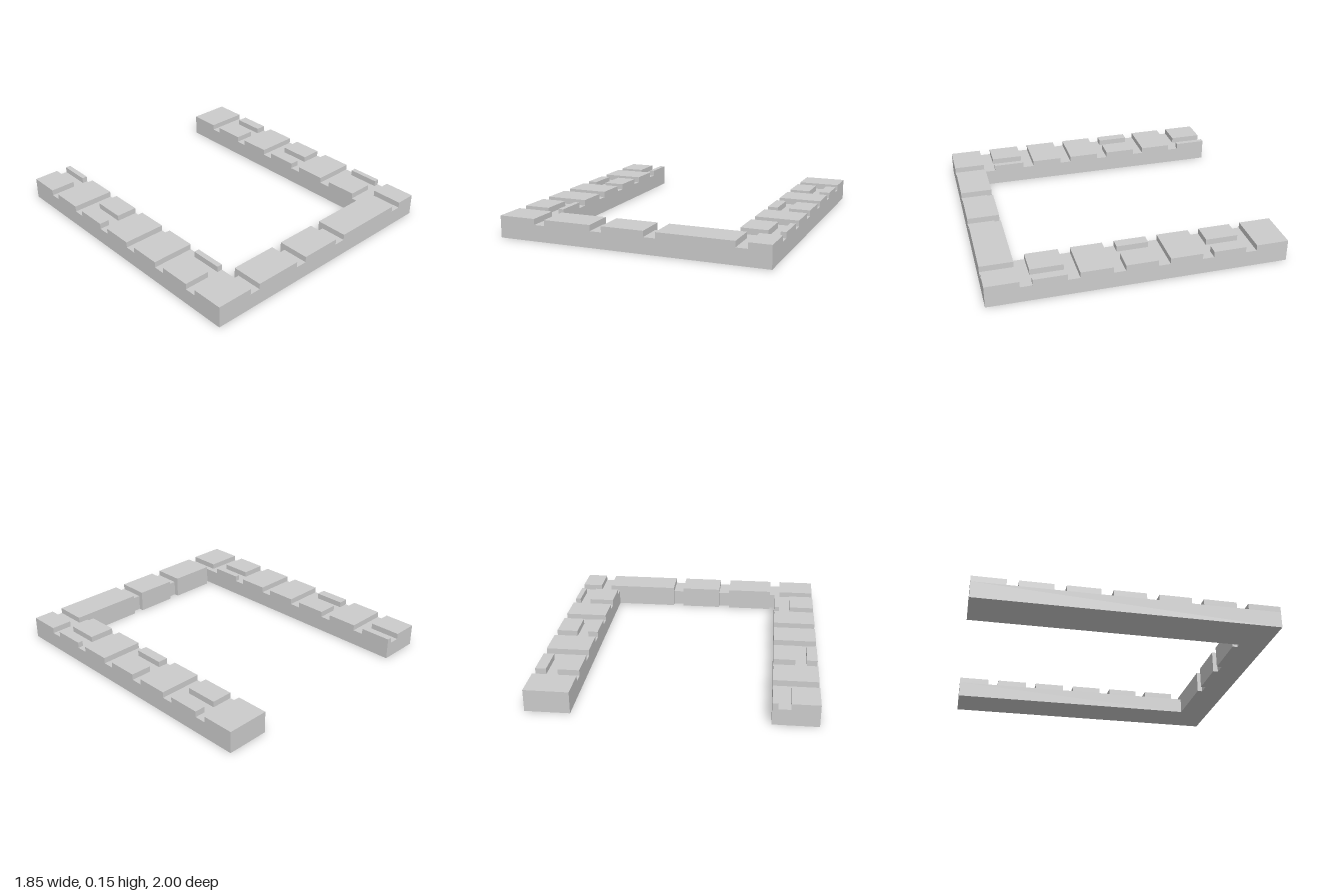
import * as THREE from 'three';

const FLOOR = 0.11, TOP = 0.15;   // groove floor and stone top
const OUT = 0.925, IN = 0.63;     // outer and inner edge of the side arms
const FRONT = 0.78, NOTCH = 0.815; // inner edge of the front wall, and inside its joints

export function createModel() {
  const group = new THREE.Group();
  group.name = 'stoneWallFoundation';
  const mat = new THREE.MeshStandardMaterial({ color: 0xcccccc, flatShading: true });

  // U-shaped base; the joints of the front wall also notch its inner face
  const outline = [
    [-OUT, 1], [OUT, 1], [OUT, -1], [IN, -1], [IN, FRONT],
    [0.185, FRONT], [0.185, NOTCH], [0.105, NOTCH], [0.105, FRONT],
    [-0.185, FRONT], [-0.185, NOTCH], [-0.265, NOTCH], [-0.265, FRONT],
    [-0.595, FRONT], [-0.595, NOTCH], [-IN, NOTCH], [-IN, -1], [-OUT, -1],
  ];
  const shape = new THREE.Shape(outline.map(([x, z]) => new THREE.Vector2(x, -z)));
  const baseGeo = new THREE.ExtrudeGeometry(shape, { depth: FLOOR, bevelEnabled: false });
  baseGeo.rotateX(-Math.PI / 2);
  const base = new THREE.Mesh(baseGeo, mat);
  base.name = 'base';
  group.add(base);

  // One raised stone between the given limits
  const stone = (name, x0, x1, z0, z1) => {
    const mesh = new THREE.Mesh(new THREE.BoxGeometry(x1 - x0, TOP - FLOOR, z1 - z0), mat);
    mesh.position.set((x0 + x1) / 2, (FLOOR + TOP) / 2, (z0 + z1) / 2);
    mesh.name = name;
    group.add(mesh);
  };

  // Side arms: rows of stones, some split by a joint [start, end] in x
  const rows = [[-1, -0.78], [-0.705, -0.485], [-0.408, -0.19], [-0.11, 0.105], [0.185, 0.4], [0.48, 0.7]];
  const rightJoints = { 0: [-0.745, -0.667], 2: [-0.855, -0.777], 5: [-0.745, -0.667] };
  const leftJoints = { 1: [0.775, 0.852], 3: [0.7, 0.778], 5: [0.81, 0.888] };
  const arm = (name, x0, x1, joints) => rows.forEach(([z0, z1], i) => {
    const joint = joints[i];
    if (joint) {
      stone(name, x0, joint[0], z0, z1);
      stone(name, joint[1], x1, z0, z1);
    } else stone(name, x0, x1, z0, z1);
  });
  arm('rightArmStone', -OUT, -IN, rightJoints);
  arm('leftArmStone', IN, OUT, leftJoints);

  // Front wall stones, corners included
  [[-OUT, -0.67], [-0.595, -0.265], [-0.185, 0.105], [0.185, 0.7], [0.778, OUT]]
    .forEach(([x0, x1]) => stone('frontStone', x0, x1, FRONT, 1));

  return group;
}
